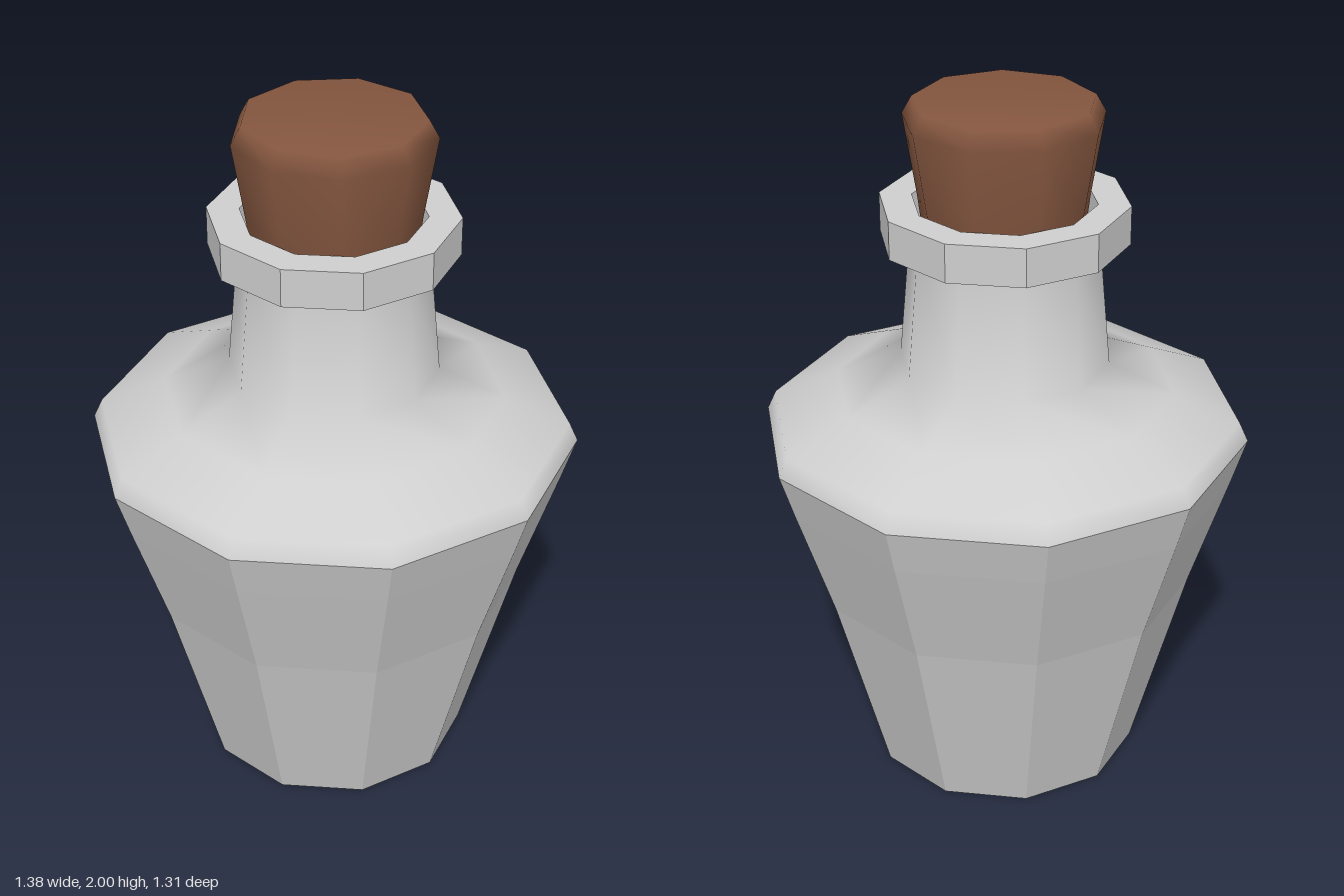
import * as THREE from 'three';

const glass = new THREE.MeshStandardMaterial({ color: 0xcfcfcf });
glass.name = 'pale grey glass';
const cork = new THREE.MeshStandardMaterial({ color: 0x84563f });
cork.name = 'brown cork';

// Turned part from [radius, height] pairs, with one corner on +x
function turned(name, profile, sides, material, flat) {
  const points = profile.map(([r, y]) => new THREE.Vector2(r, y));
  let geometry = new THREE.LatheGeometry(points, sides, Math.PI / 2);
  if (flat) {
    geometry = geometry.toNonIndexed();
    geometry.computeVertexNormals();
  }
  const mesh = new THREE.Mesh(geometry, material);
  mesh.name = name;
  return mesh;
}

export function createModel() {
  const group = new THREE.Group();
  group.name = 'corkedBottle';

  // Faceted lower body with a closed base
  group.add(turned('body', [[0, 0], [0.385, 0], [0.54, 0.57], [0.648, 0.9], [0.69, 1.035]], 10, glass, true));

  // Smooth shoulder and neck
  group.add(turned('shoulderAndNeck', [[0.69, 1.035], [0.665, 1.09], [0.48, 1.17], [0.295, 1.25], [0.263, 1.61]], 10, glass, false));

  // Flat-sided lip, with the inner wall and floor of the mouth
  group.add(turned('lip', [[0.26, 1.6], [0.345, 1.61], [0.345, 1.72], [0.255, 1.72], [0.24, 1.5], [0, 1.5]], 10, glass, true));

  // Tapered stopper with a softened top edge
  group.add(turned('stopper', [[0, 1.52], [0.215, 1.52], [0.215, 1.52], [0.24, 1.72], [0.278, 1.95], [0.25, 2], [0, 2]], 9, cork, false));

  return group;
}
